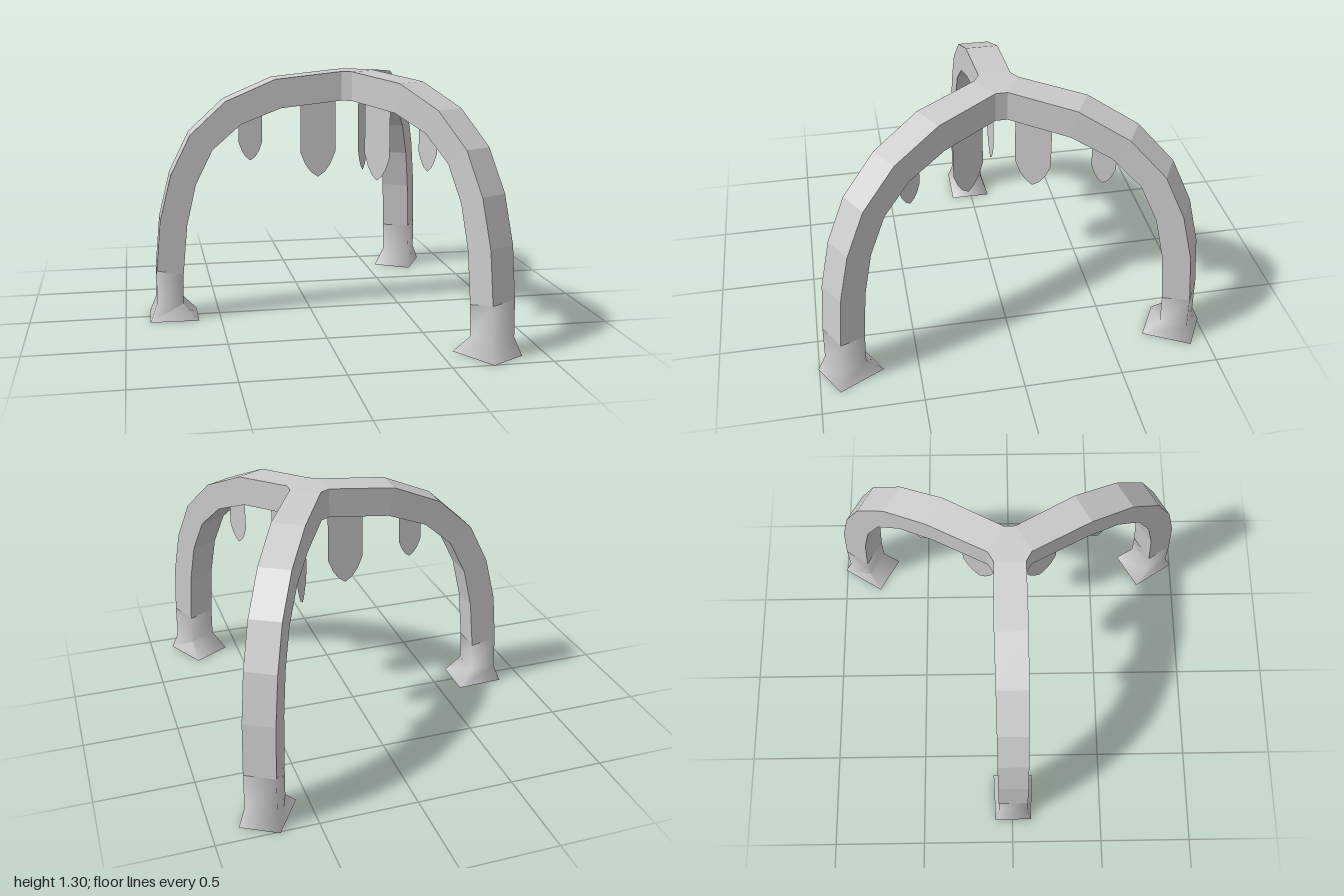
import * as THREE from 'three';
import { toCreasedNormals } from 'three/addons/utils/BufferGeometryUtils.js';

// Leg stations from hub to ground: outer radius, outer y, inner radius, inner y,
// outer half width, inner half width, sideways shift
const STATIONS = [
  [0.08, 1.305, 0.08, 1.153, 0.08, 0.08, 0],
  [0.43, 1.27, 0.40, 1.12, 0.084, 0.084, -0.002],
  [0.69, 1.16, 0.61, 1.04, 0.081, 0.081, -0.004],
  [0.875, 0.99, 0.76, 0.91, 0.08, 0.08, -0.005],
  [0.98, 0.78, 0.85, 0.73, 0.08, 0.08, -0.005],
  [1.04, 0.54, 0.90, 0.515, 0.08, 0.08, -0.005],
  [1.065, 0.275, 0.925, 0.25, 0.08, 0.08, -0.005],
  [1.07, 0.09, 0.93, 0.09, 0.08, 0.08, -0.005],
  [1.105, 0, 0.85, 0, 0.101, 0.11, -0.005],
];
const HUB_X = 0.233;

const grey = new THREE.MeshStandardMaterial({ color: 0xcccccc });
const greyFlat = new THREE.MeshStandardMaterial({ color: 0xcccccc, flatShading: true });
const greyThin = new THREE.MeshStandardMaterial({ color: 0xcccccc, side: THREE.DoubleSide });

function part(name, geometry, material) {
  const mesh = new THREE.Mesh(geometry, material);
  mesh.name = name;
  return mesh;
}

// Four-sided tube lofted through the stations
function loft(stations, capEnd) {
  const pos = [];
  const index = [];
  for (const [ro, yo, ri, yi, wo, wi, s] of stations) {
    pos.push(ro, yo, s + wo, ro, yo, s - wo, ri, yi, s - wi, ri, yi, s + wi);
  }
  for (let i = 0; i < stations.length - 1; i++) {
    for (let j = 0; j < 4; j++) {
      const a = i * 4 + j, b = i * 4 + (j + 1) % 4;
      index.push(a, a + 4, b, b, a + 4, b + 4);
    }
  }
  if (capEnd) {
    const e = (stations.length - 1) * 4;
    index.push(e, e + 3, e + 2, e, e + 2, e + 1);
  }
  const geo = new THREE.BufferGeometry();
  geo.setAttribute('position', new THREE.Float32BufferAttribute(pos, 3));
  geo.setIndex(index);
  return geo;
}

// Thin hanging blade with a rounded point, centred on radius r
function blade(r, halfWidth, topInner, topOuter, shoulder, tip) {
  const shape = new THREE.Shape();
  const drop = shoulder - tip;
  shape.moveTo(r - halfWidth, topInner);
  shape.lineTo(r - halfWidth, shoulder);
  shape.lineTo(r - halfWidth * 0.72, shoulder - drop * 0.48);
  shape.lineTo(r - halfWidth * 0.4, shoulder - drop * 0.8);
  shape.lineTo(r, tip);
  shape.lineTo(r + halfWidth * 0.4, shoulder - drop * 0.8);
  shape.lineTo(r + halfWidth * 0.72, shoulder - drop * 0.48);
  shape.lineTo(r + halfWidth, shoulder);
  shape.lineTo(r + halfWidth, topOuter);
  return new THREE.ShapeGeometry(shape);
}

// Six-cornered block joining the three legs
function hubGeometry() {
  const shape = new THREE.Shape();
  for (let k = 0; k < 3; k++) {
    const a = k * Math.PI * 2 / 3 + Math.PI / 3;
    for (const w of [-0.08, 0.08]) {
      const x = 0.08 * Math.cos(a) - w * Math.sin(a);
      const y = 0.08 * Math.sin(a) + w * Math.cos(a);
      if (k === 0 && w < 0) shape.moveTo(x, y);
      else shape.lineTo(x, y);
    }
  }
  const geo = new THREE.ExtrudeGeometry(shape, { depth: 0.152, bevelEnabled: false });
  geo.rotateX(-Math.PI / 2);
  geo.translate(0, 1.153, 0);
  return geo;
}

export function createModel() {
  const model = new THREE.Group();
  model.name = 'threeLeggedArch';

  const hub = part('hub', hubGeometry(), greyFlat);
  hub.position.x = HUB_X;
  model.add(hub);

  const archGeo = loft(STATIONS.slice(0, 7), false);
  const footGeo = toCreasedNormals(loft(STATIONS.slice(6), true), Math.PI * 0.51);
  const largeBlade = blade(0.19, 0.095, 1.147, 1.135, 0.87, 0.735);
  const smallBlade = blade(0.553, 0.062, 1.08, 1.05, 0.93, 0.835);

  [Math.PI, Math.PI / 3, -Math.PI / 3].forEach((angle, i) => {
    const leg = new THREE.Group();
    leg.name = ['rightLeg', 'backLeftLeg', 'frontLeftLeg'][i];
    leg.position.x = HUB_X;
    leg.rotation.y = angle;
    leg.add(
      part('arch', archGeo, greyFlat),
      part('foot', footGeo, grey),
      part('largeHangingBlade', largeBlade, greyThin),
      part('smallHangingBlade', smallBlade, greyThin),
    );
    model.add(leg);
  });
  return model;
}
